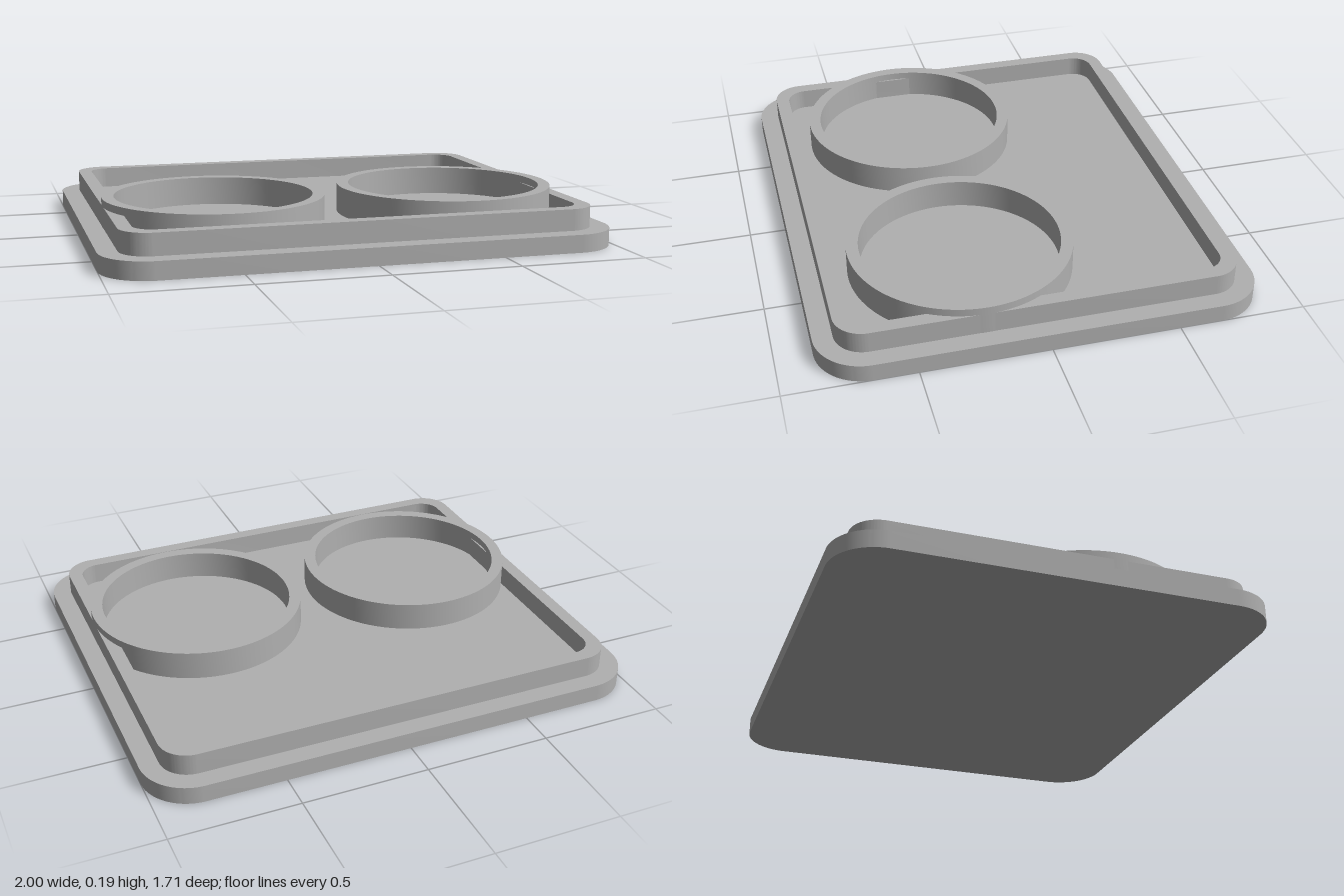
import * as THREE from 'three';
import { toCreasedNormals } from 'three/addons/utils/BufferGeometryUtils.js';

const BASE_TOP = 0.07;

// Rounded rectangle from half sizes and corner radius
function roundedRect(path, w, d, r) {
  path.absarc(w - r, d - r, r, 0, Math.PI / 2);
  path.absarc(-w + r, d - r, r, Math.PI / 2, Math.PI);
  path.absarc(-w + r, -d + r, r, Math.PI, Math.PI * 1.5);
  path.absarc(w - r, -d + r, r, Math.PI * 1.5, Math.PI * 2);
  path.closePath();
  return path;
}

// Extrude a plan shape upward between two heights
function slab(name, shape, bottom, top, material, curveSegments) {
  const extruded = new THREE.ExtrudeGeometry(shape, { depth: top - bottom, bevelEnabled: false, curveSegments });
  extruded.rotateX(-Math.PI / 2);
  const mesh = new THREE.Mesh(toCreasedNormals(extruded, Math.PI / 5), material);
  mesh.name = name;
  mesh.position.y = bottom;
  return mesh;
}

export function createModel() {
  const model = new THREE.Group();
  model.name = 'trayLid';
  const grey = new THREE.MeshStandardMaterial({ color: 0xb0b0b0 });
  grey.name = 'grey';

  // Base plate
  const base = roundedRect(new THREE.Shape(), 1, 0.857, 0.19);
  model.add(slab('basePlate', base, 0, BASE_TOP, grey, 16));

  // Raised rim, set in from the plate edge
  const rim = roundedRect(new THREE.Shape(), 0.925, 0.78, 0.115);
  rim.holes.push(roundedRect(new THREE.Path(), 0.87, 0.725, 0.08));
  model.add(slab('rim', rim, BASE_TOP, 0.155, grey, 16));

  // Two round collars near the front, slightly taller than the rim
  for (const [name, side] of [['leftRing', 1], ['rightRing', -1]]) {
    const ring = new THREE.Shape().absarc(0, 0, 0.441, 0, Math.PI * 2);
    ring.holes.push(new THREE.Path().absarc(0, 0, 0.393, 0, Math.PI * 2));
    const mesh = slab(name, ring, BASE_TOP, 0.185, grey, 64);
    mesh.position.x = side * 0.485;
    mesh.position.z = 0.227;
    model.add(mesh);
  }
  return model;
}
